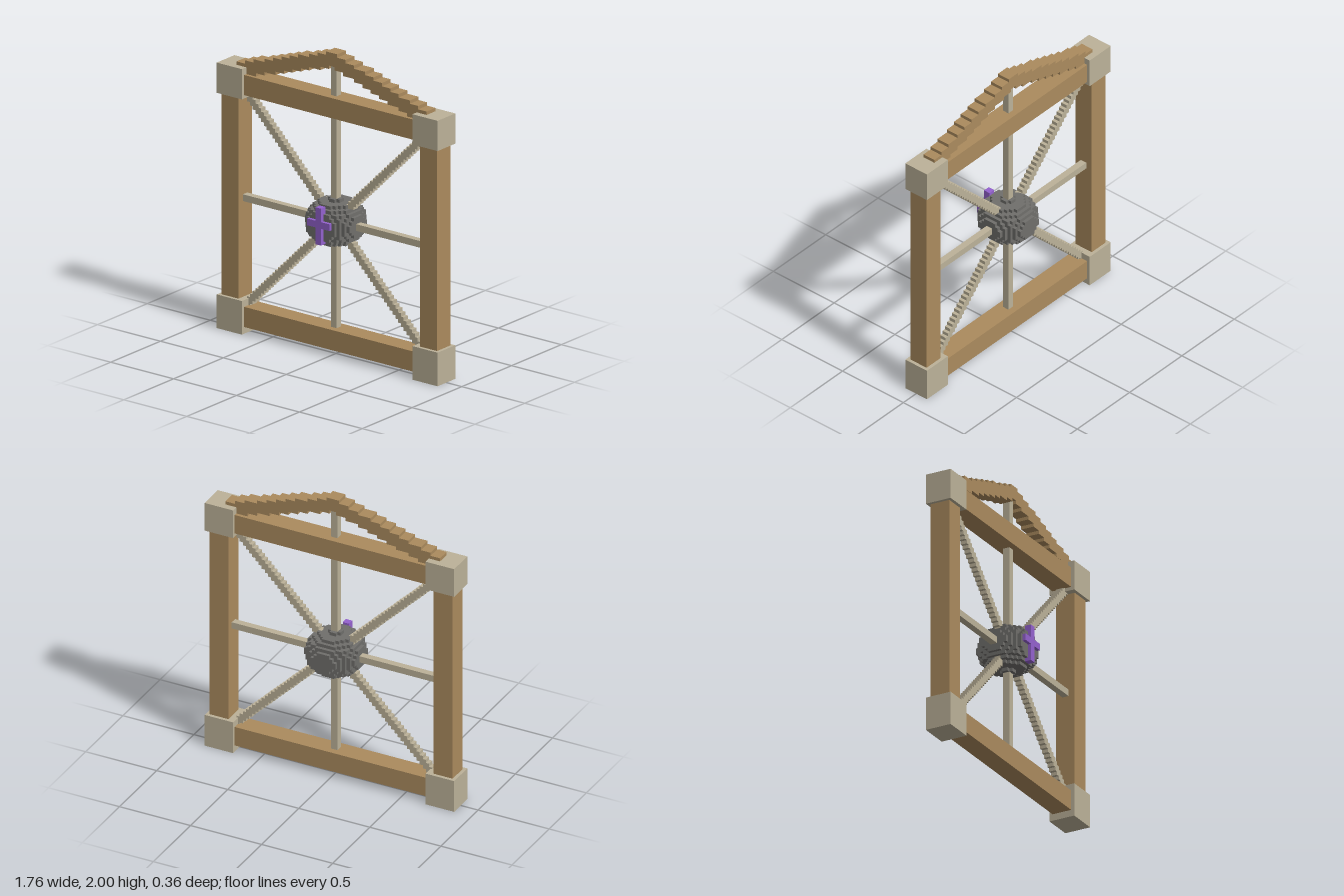
import * as THREE from 'three';

// All sizes below are in blocks; 45 blocks make one unit.
const B = 1 / 45;
const MID = 39.5; // height of the hub centre

export function createModel() {
  const model = new THREE.Group();
  const paint = (name, color) => {
    const m = new THREE.MeshStandardMaterial({ color });
    m.name = name;
    return m;
  };
  const wood = paint('wood', 0xab8b5e);
  const stone = paint('pale stone', 0xbcb299);
  const iron = paint('dark iron', 0x706f6c);
  const violet = paint('violet', 0x9462cf);

  const add = (name, geometry, material) => {
    const mesh = new THREE.Mesh(geometry, material);
    mesh.name = name;
    model.add(mesh);
  };
  const box = (name, material, x0, x1, y0, y1, z0, z1) => {
    const g = new THREE.BoxGeometry(x1 - x0, y1 - y0, z1 - z0);
    add(name, g.translate((x0 + x1) / 2, (y0 + y1) / 2, (z0 + z1) / 2), material);
  };
  const extrude = (points, depth) =>
    new THREE.ExtrudeGeometry(new THREE.Shape(points), { depth, bevelEnabled: false })
      .translate(0, 0, -depth / 2);

  // Stepped bar: outline of square blocks (half size h) stamped along a rising path
  const steppedBar = (name, material, path, h, sx, sy, y) => {
    const upper = [], lower = [];
    path.forEach(([px, py], k) => {
      const next = path[k + 1];
      upper.push([px - h, py + h]);
      lower.push([px + h, py - h]);
      if (next) {
        upper.push([next[0] - h, py + h]);
        lower.push([px + h, next[1] - h]);
      }
    });
    const [ex, ey] = path[path.length - 1];
    const outline = [[path[0][0] - h, path[0][1] - h], ...upper, [ex + h, ey + h], ...lower.reverse()];
    const points = outline.map(([a, b]) => new THREE.Vector2(a * sx, y + b * sy));
    add(name, extrude(points, 2 * h), material);
  };

  // Square frame: posts, beams and corner blocks
  for (const s of [-1, 1]) {
    const side = s > 0 ? 'left' : 'right';
    const span = (a, b) => (s > 0 ? [a, b] : [-b, -a]);
    box(side + 'Post', wood, ...span(32.5, 38.5), 10, 70, -3, 3);
    box(side + 'LowerCorner', stone, ...span(30.5, 39.5), 0, 10, -4, 4);
    box(side + 'UpperCorner', stone, ...span(30.5, 39.5), 70, 79, -4, 4);
  }
  box('lowerBeam', wood, -30.5, 30.5, 2, 8, -3, 3);
  box('upperBeam', wood, -30.5, 30.5, 71, 77, -3, 3);

  // Stepped gable rising to the middle
  const slope = [];
  for (let i = 0; i <= 10; i++) slope.push([-Math.round(32 - 3.2 * i), 78 + i]);
  steppedBar('gableRight', wood, slope, 2, 1, 1, 0);
  steppedBar('gableLeft', wood, slope, 2, -1, 1, 0);

  // Straight and diagonal spokes
  box('verticalSpoke', stone, -1, 1, 8, 86, -1, 1);
  box('horizontalSpoke', stone, -32.5, 32.5, MID - 1, MID + 1, -1, 1);
  const diagonal = [];
  for (let i = 3; i <= 32; i++) diagonal.push([i, i]);
  for (const sx of [-1, 1]) {
    for (const sy of [-1, 1]) steppedBar('diagonalSpoke', stone, diagonal, 1, sx, sy, MID);
  }

  // Blocky hub: nested stepped discs, the widest one thinnest
  for (let k = 0; k < 7; k++) {
    const r2 = 71 * (1 - (k + 0.5) ** 2 / 44.5);
    const right = [], left = [];
    for (let z = -8; z < 7; z++) {
      const rest = r2 - (z + 0.5) ** 2;
      const w = rest < 0.25 ? 0 : Math.floor(Math.sqrt(rest) + 0.5);
      if (w < 1) continue;
      right.push(new THREE.Vector2(w, -z), new THREE.Vector2(w, -z - 1));
      left.unshift(new THREE.Vector2(-w, -z - 1), new THREE.Vector2(-w, -z));
    }
    const disc = extrude([...right, ...left], 2 * (k + 1)).rotateX(-Math.PI / 2);
    add('hub', disc.translate(0, MID, 0), iron);
  }

  // Raised cross on the front of the hub
  box('crossUpright', violet, -1, 1, 34.5, 45.5, 6, 8);
  box('crossArmRight', violet, -4, -1, 39.5, 41.5, 6, 8);
  box('crossArmLeft', violet, 1, 4, 39.5, 41.5, 6, 8);

  model.scale.setScalar(B);
  return model;
}
